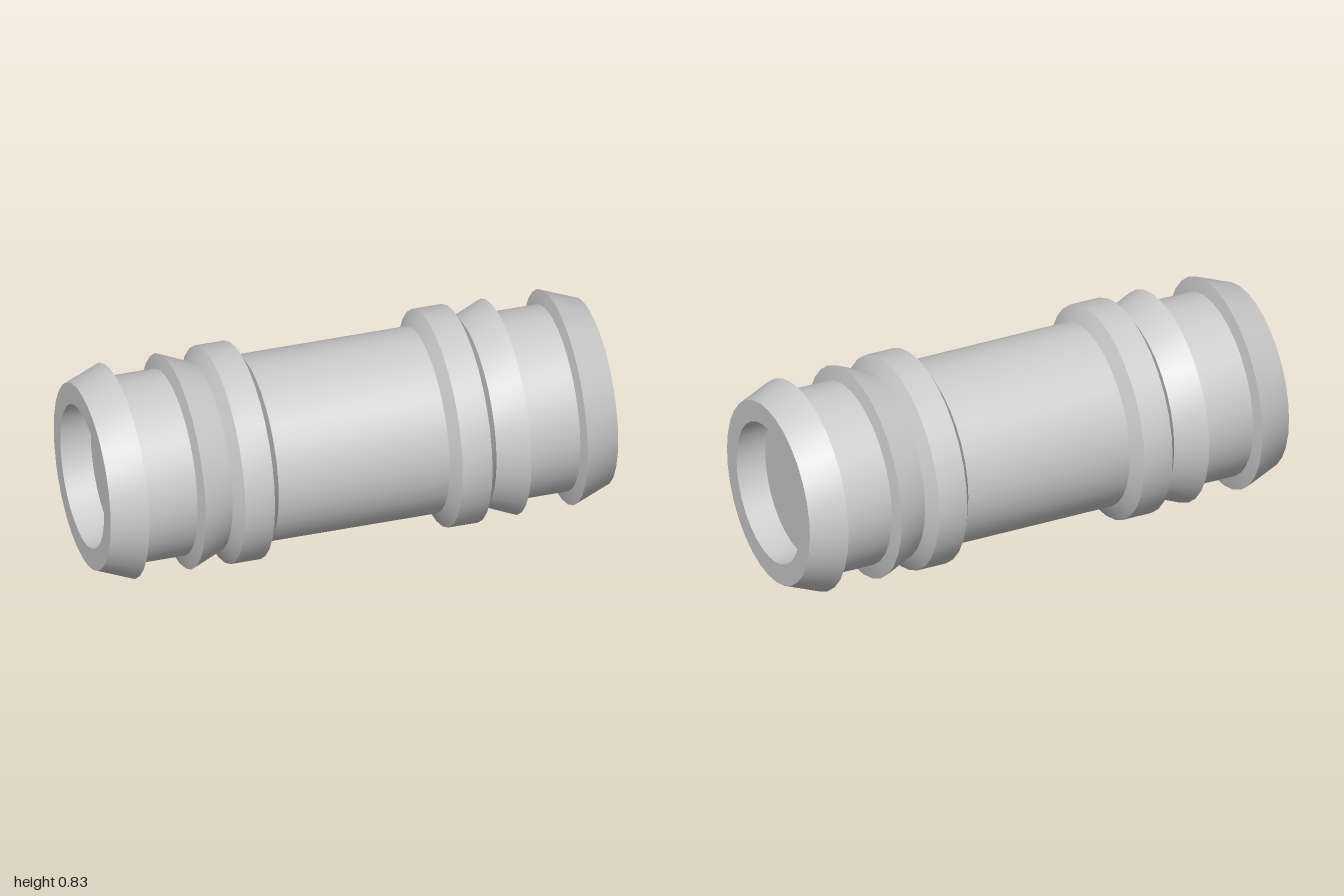
import * as THREE from 'three';
import { toCreasedNormals } from 'three/addons/utils/BufferGeometryUtils.js';

const SEGMENTS = 32;
const BODY_R = 0.357;
const COLLAR_R = 0.417;
const BARB_R = 0.413;
const BORE_R = 0.277;

const material = new THREE.MeshStandardMaterial({ color: 0xcccccc });

// Revolves [x, radius] points around the x axis
function turned(name, profile) {
  const points = profile.map(([x, r]) => new THREE.Vector2(r, x));
  const lathe = new THREE.LatheGeometry(points, SEGMENTS);
  lathe.rotateZ(-Math.PI / 2);
  const mesh = new THREE.Mesh(toCreasedNormals(lathe, 0.3), material);
  mesh.name = name;
  return mesh;
}

// One hose end, pointing along +x
function createHoseEnd(name) {
  const end = new THREE.Group();
  end.name = name;
  end.add(
    // Chamfered stop collar
    turned('collar', [[0.337, BODY_R], [0.37, COLLAR_R], [0.487, COLLAR_R], [0.52, 0.362]]),
    // Inner barb, steep side facing outward
    turned('innerBarb', [[0.52, 0.362], [0.642, BARB_R], [0.656, BODY_R]]),
    turned('neck', [[0.656, BODY_R], [0.852, BODY_R]]),
    // Outer barb, tapering to the rim
    turned('outerBarb', [[0.852, BODY_R], [0.864, BARB_R], [1, 0.36]]),
    turned('rim', [[1, 0.36], [1, BORE_R]]),
    // Blind bore with a flat floor
    turned('bore', [[1, BORE_R], [0.88, BORE_R], [0.88, 0]])
  );
  return end;
}

export function createModel() {
  const model = new THREE.Group();
  model.name = 'hoseConnector';

  model.add(turned('pipe', [[-0.337, BODY_R], [0.337, BODY_R]]));

  const leftEnd = createHoseEnd('leftEnd');
  const rightEnd = createHoseEnd('rightEnd');
  rightEnd.rotation.y = Math.PI;
  model.add(leftEnd, rightEnd);

  // Rest the collars on the ground
  model.position.y = COLLAR_R;
  const root = new THREE.Group();
  root.add(model);
  return root;
}
